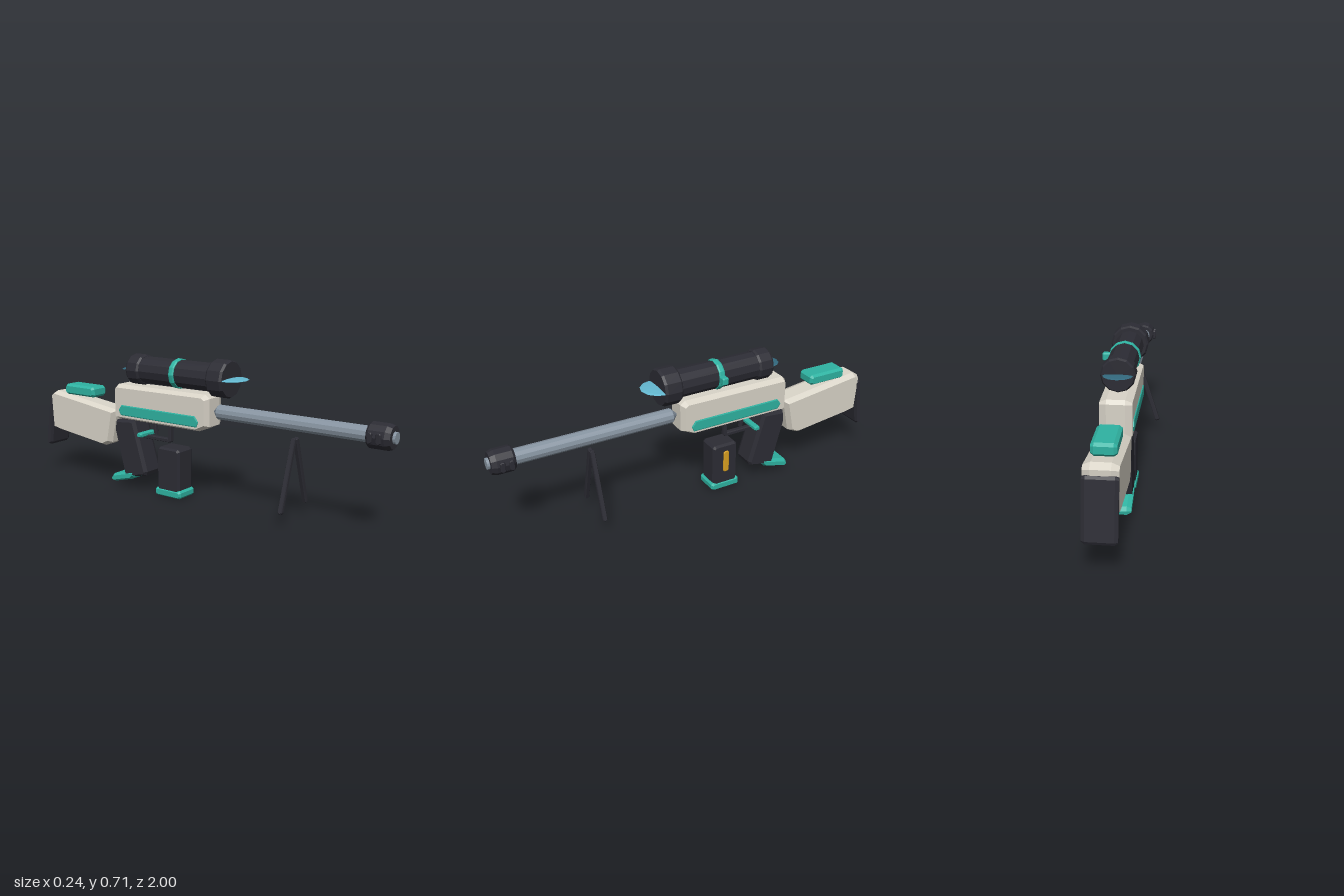
import * as THREE from 'three';

const mat = (name, color) => {
  const m = new THREE.MeshStandardMaterial({ color, flatShading: true });
  m.name = name;
  return m;
};

export function createModel() {
  const cream = mat('cream', 0xd9d4c8);
  const dark = mat('charcoal', 0x2c2c34);
  const teal = mat('teal', 0x2fb3a2);
  const steel = mat('steel', 0x8794a1);
  const amber = mat('amber', 0xd9a021);
  const glass = mat('lens blue', 0x64b8d0);
  const darkGlass = mat('dark lens blue', 0x33697e);

  const group = new THREE.Group();
  const add = (name, geometry, material, x = 0, y = 0, z = 0) => {
    const mesh = new THREE.Mesh(geometry, material);
    mesh.name = name;
    mesh.position.set(x, y, z);
    group.add(mesh);
    return mesh;
  };

  // Side profile of [z, y] points, extruded across x with chamfered edges
  const slab = (points, halfWidth, chamferX, chamfer) => {
    const shape = new THREE.Shape(points.map(([z, y]) => new THREE.Vector2(z, y)));
    const depth = 2 * (halfWidth - chamferX);
    const g = new THREE.ExtrudeGeometry(shape, {
      depth, bevelEnabled: true, bevelSegments: 1,
      bevelThickness: chamferX, bevelSize: chamfer, bevelOffset: -chamfer,
    });
    return g.translate(0, 0, -depth / 2).rotateY(-Math.PI / 2);
  };

  // Box outline with cut corners, for use with slab
  const cutBox = (z0, z1, y0, y1, c) => [
    [z0 + c, y0], [z1 - c, y0], [z1, y0 + c], [z1, y1 - c],
    [z1 - c, y1], [z0 + c, y1], [z0, y1 - c], [z0, y0 + c],
  ];

  // Turned part along z from [radius, z] points, back to front
  const turned = (points, sides = 12) => new THREE.LatheGeometry(
    points.map(([r, z]) => new THREE.Vector2(r, z)), sides).rotateX(Math.PI / 2);

  // Receiver and its side stripes
  add('receiver', slab([[0.07, 0.54], [-0.475, 0.537], [-0.49, 0.52], [-0.49, 0.37],
    [-0.475, 0.36], [0.035, 0.36], [0.095, 0.388], [0.095, 0.522]], 0.07, 0.03, 0.014), cream);
  for (const s of [-1, 1]) {
    add(s > 0 ? 'leftStripe' : 'rightStripe',
      slab([[0.03, 0.437], [-0.43, 0.437], [-0.45, 0.41], [-0.435, 0.385], [0.04, 0.385],
        [0.05, 0.41]], 0.0045, 0.002, 0.004), teal, s * 0.071);
  }

  // Barrel and muzzle
  const barrelY = 0.458;
  add('barrel', turned([[0, 0.09], [0.01, 0.1], [0.036, 0.125], [0.036, 0.89], [0.026, 0.9],
    [0.026, 1], [0, 1]]), steel, 0, barrelY);
  add('muzzle', turned([[0, 0.882], [0.05, 0.882], [0.058, 0.892], [0.058, 0.965],
    [0.05, 0.988], [0, 0.988]]), dark, 0, barrelY);
  for (const s of [-1, 1]) for (const z of [0.905, 0.945]) {
    add('muzzlePort', slab(cutBox(-0.011, 0.011, -0.024, 0.024, 0.006), 0.008, 0.004, 0.003),
      dark, s * 0.061, barrelY, z);
  }

  // Bipod legs
  for (const s of [-1, 1]) {
    const leg = add(s > 0 ? 'leftBipodLeg' : 'rightBipodLeg',
      slab(cutBox(-0.011, 0.011, -0.17, 0.17, 0.006), 0.012, 0.005, 0.003), dark, s * 0.059, 0.23, 0.53);
    leg.rotation.z = s * 0.312;
  }

  // Scope with its bells, ring and knob
  const scopeY = 0.618;
  add('scopeTube', turned([[0, -0.34], [0.065, -0.34], [0.068, -0.32], [0.068, 0.09],
    [0.065, 0.11], [0, 0.11]]), dark, 0, scopeY);
  add('scopeFrontBell', turned([[0, 0.098], [0.082, 0.098], [0.09, 0.108], [0.09, 0.178],
    [0.084, 0.19], [0, 0.19]]), dark, 0, scopeY);
  add('scopeRearBell', turned([[0, -0.4], [0.07, -0.4], [0.077, -0.39], [0.077, -0.33],
    [0.07, -0.32], [0, -0.32]]), dark, 0, scopeY);
  add('scopeRing', turned([[0.06, -0.129], [0.071, -0.129], [0.074, -0.122], [0.074, -0.106],
    [0.071, -0.099], [0.06, -0.099]]), teal, 0, scopeY);
  add('scopeKnob', slab(cutBox(-0.016, 0.016, -0.018, 0.018, 0.005), 0.02, 0.005, 0.004),
    teal, 0.082, scopeY, -0.114);

  // Flattened lenses, set edge-on in each end
  const lens = (name, r, z, m) => {
    const g = new THREE.SphereGeometry(r, 12, 6);
    add(name, g.scale(1, 0.09, 1), m, 0, scopeY, z);
  };
  lens('frontLens', 0.086, 0.185, glass);
  lens('rearLens', 0.067, -0.395, darkGlass);

  // Magazine, floor plate and marker
  add('magazine', slab(cutBox(-0.215, -0.08, 0.03, 0.25, 0.012), 0.058, 0.014, 0.008), dark);
  add('magazinePlate', slab(cutBox(-0.227, -0.07, 0.002, 0.043, 0.01), 0.063, 0.012, 0.008), teal);
  add('magazineMarker', slab(cutBox(-0.164, -0.134, 0.1, 0.215, 0.007), 0.0045, 0.002, 0.003),
    amber, 0.06);

  // Grip, flared foot and front ridge
  add('grip', slab([[-0.365, 0.362], [-0.485, 0.352], [-0.49, 0.3], [-0.428, 0.068], [-0.412, 0.06],
    [-0.295, 0.085], [-0.288, 0.105]], 0.065, 0.02, 0.01), dark);
  add('gripFoot', slab([[-0.365, 0.092], [-0.38, 0.096], [-0.51, 0.062], [-0.523, 0.045], [-0.52, 0.028],
    [-0.502, 0.022], [-0.385, 0.053], [-0.37, 0.068]], 0.07, 0.02, 0.01), teal);
  add('gripRidge', slab(cutBox(-0.345, -0.315, 0.28, 0.302, 0.005), 0.06, 0.01, 0.004), teal);

  // Trigger guard and trigger
  add('triggerGuardPost', slab(cutBox(-0.182, -0.163, 0.27, 0.365, 0.005), 0.014, 0.005, 0.003), dark);
  add('triggerGuardBar', slab(cutBox(-0.34, -0.165, 0.268, 0.287, 0.005), 0.014, 0.005, 0.003), dark);
  add('trigger', slab([[-0.265, 0.365], [-0.285, 0.365], [-0.272, 0.3], [-0.256, 0.296]],
    0.01, 0.003, 0.002), dark);

  // Stock, cheek rest and butt pad
  add('stock', slab([[-0.492, 0.395], [-0.51, 0.402], [-0.925, 0.456], [-0.957, 0.438], [-0.946, 0.25],
    [-0.88, 0.238], [-0.575, 0.202], [-0.527, 0.225]], 0.07, 0.03, 0.014), cream);
  add('cheekRest', slab(cutBox(-0.86, -0.65, 0.445, 0.5, 0.012), 0.052, 0.014, 0.01), teal);
  add('buttPad', slab([[-0.93, 0.4], [-0.938, 0.412], [-0.957, 0.414], [-0.966, 0.404], [-1, 0.165],
    [-0.994, 0.152], [-0.975, 0.152], [-0.964, 0.165]], 0.07, 0.014, 0.007), dark);

  return group;
}
